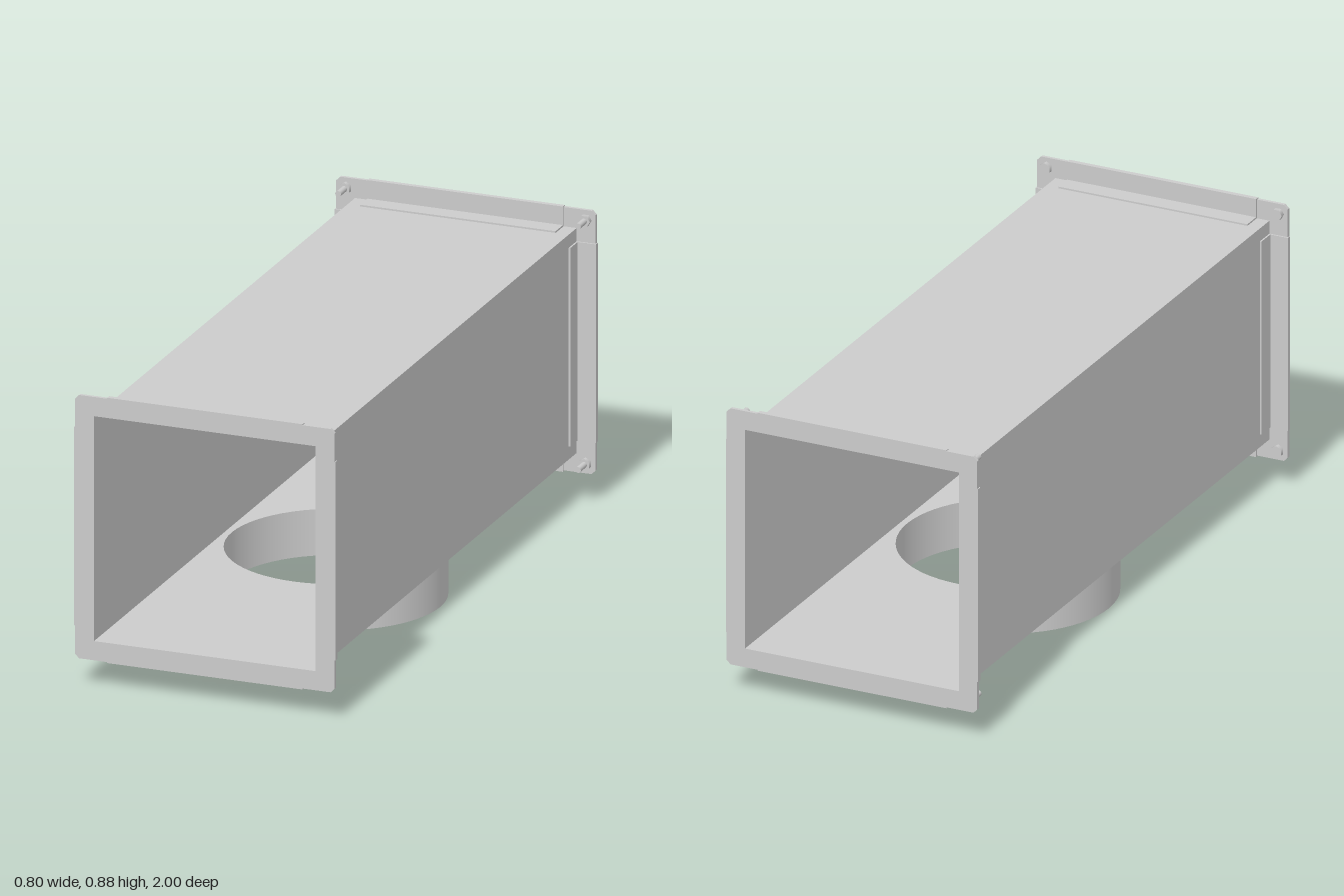
import * as THREE from 'three';

const HALF = 0.34;     // half width of the square duct
const MID_Y = 0.48;    // height of the duct axis
const RADIUS = 0.32;   // round branch collar

export function createModel() {
  const model = new THREE.Group();
  const solid = new THREE.MeshStandardMaterial({ color: 0xcccccc });
  const sheet = new THREE.MeshStandardMaterial({ color: 0xcccccc, side: THREE.DoubleSide });

  const add = (parent, name, geometry, material, x = 0, y = 0, z = 0) => {
    const mesh = new THREE.Mesh(geometry, material);
    mesh.name = name;
    mesh.position.set(x, y, z);
    parent.add(mesh);
    return mesh;
  };

  // Thin sheet-metal duct, open at both ends
  const duct = new THREE.Group();
  duct.name = 'duct';
  duct.position.y = MID_Y;
  model.add(duct);
  const wall = new THREE.PlaneGeometry(2 * HALF, 2);
  add(duct, 'topWall', wall, sheet, 0, HALF, 0).rotation.x = -Math.PI / 2;
  for (const s of [-1, 1]) {
    const side = add(duct, s > 0 ? 'leftWall' : 'rightWall', wall, sheet, s * HALF, 0, 0);
    side.rotation.set(-Math.PI / 2, s * Math.PI / 2, 0);
  }

  // Floor with the round branch opening
  const floor = new THREE.Shape([
    new THREE.Vector2(-HALF, -1), new THREE.Vector2(HALF, -1),
    new THREE.Vector2(HALF, 1), new THREE.Vector2(-HALF, 1),
  ]);
  floor.holes.push(new THREE.Path().absarc(0, 0, RADIUS, 0, Math.PI * 2, true));
  add(duct, 'bottomWall', new THREE.ShapeGeometry(floor, 32), sheet, 0, -HALF, 0).rotation.x = Math.PI / 2;

  // Branch collar below the duct
  const collarHeight = MID_Y - HALF;
  add(model, 'branchCollar', new THREE.CylinderGeometry(RADIUS, RADIUS, collarHeight, 64, 1, true),
    sheet, 0, collarHeight / 2, 0);

  // L-shaped corner plate with a chamfered outer corner
  const cornerShape = new THREE.Shape([
    [0.3, HALF], [HALF, HALF], [HALF, 0.3], [0.398, 0.3],
    [0.398, 0.386], [0.386, 0.398], [0.3, 0.398],
  ].map(([x, y]) => new THREE.Vector2(x, y)));
  const cornerGeo = new THREE.ExtrudeGeometry(cornerShape, { depth: 0.01, bevelEnabled: false });
  const railGeo = new THREE.BoxGeometry(0.6, 0.061, 0.015);
  const lipGeo = new THREE.BoxGeometry(0.6, 0.005, 0.057);
  const headGeo = new THREE.CylinderGeometry(0.018, 0.018, 0.014, 6).rotateX(Math.PI / 2);
  const shankGeo = new THREE.CylinderGeometry(0.009, 0.009, 0.055, 16).rotateX(Math.PI / 2);

  // Bolted flange: four identical quarters, the back one with protruding shanks
  const makeFlange = (name, longBolts) => {
    const flange = new THREE.Group();
    flange.name = name;
    flange.position.y = MID_Y;
    for (let i = 0; i < 4; i++) {
      const quarter = new THREE.Group();
      quarter.name = 'flangeQuarter';
      quarter.rotation.z = i * Math.PI / 2;
      add(quarter, 'flangeRail', railGeo, solid, 0, HALF + 0.0305, 0.9925);
      add(quarter, 'ductLip', lipGeo, solid, 0, HALF + 0.0025, 0.9575);
      add(quarter, 'cornerPlate', cornerGeo, solid, 0, 0, 0.99);
      add(quarter, 'boltHead', headGeo, solid, 0.368, 0.368, 0.983);
      if (longBolts) add(quarter, 'boltShank', shankGeo, solid, 0.368, 0.368, 0.9575);
      flange.add(quarter);
    }
    model.add(flange);
    return flange;
  };
  makeFlange('frontFlange', false);
  makeFlange('backFlange', true).rotation.y = Math.PI;

  return model;
}
